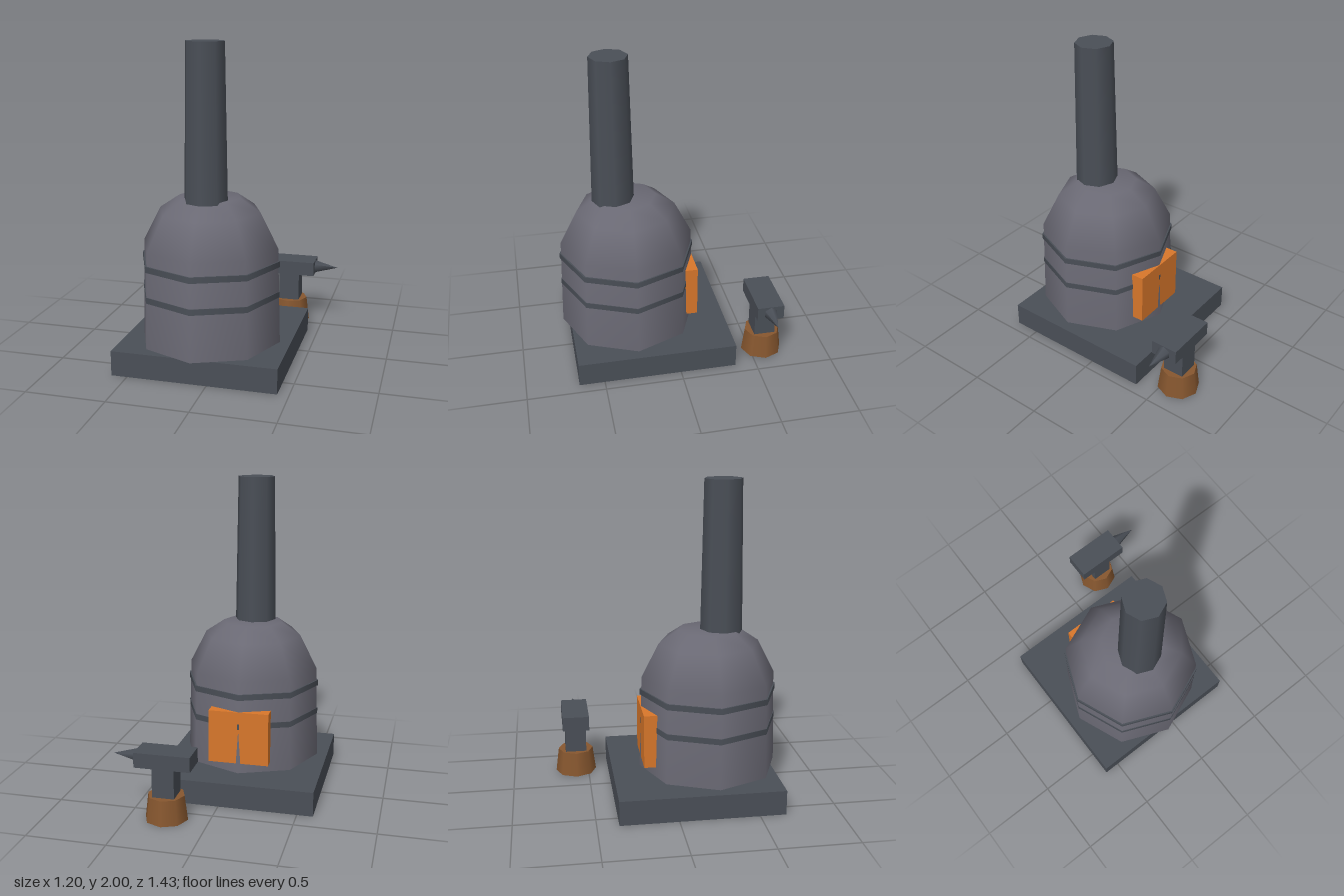
import * as THREE from 'three';

const material = (name, color) => {
  const m = new THREE.MeshStandardMaterial({ color });
  m.name = name;
  return m;
};

export function createModel() {
  const model = new THREE.Group();
  model.name = 'forge';
  const iron = material('dark iron', 0x4a4f57);
  const clay = material('grey clay', 0x6b6a75);
  const wood = material('brown wood', 0x87572f);
  const fire = material('orange glow', 0xd8772b);

  const add = (parent, name, geometry, mat, x, y, z) => {
    const mesh = new THREE.Mesh(geometry, mat);
    mesh.name = name;
    mesh.position.set(x, y, z);
    parent.add(mesh);
    return mesh;
  };

  // Square slab under the furnace
  add(model, 'slab', new THREE.BoxGeometry(1.03, 0.157, 1.028), iron, -0.085, 0.0785, 0.149);

  // Eight-sided furnace: tapered drum and dome in one smooth profile
  const furnace = new THREE.Group();
  furnace.name = 'furnace';
  furnace.position.set(-0.085, 0, 0.264);
  model.add(furnace);
  const profile = [[0.447, 0.157], [0.43, 0.76], [0.32, 0.975], [0.195, 1.06], [0, 1.061]]
    .map(([r, y]) => new THREE.Vector2(r, y));
  add(furnace, 'body', new THREE.LatheGeometry(profile, 8), clay, 0, 0, 0);
  const underside = new THREE.CircleGeometry(0.447, 8).rotateX(Math.PI / 2);
  add(furnace, 'bodyUnderside', underside, clay, 0, 0.157, 0);

  // Iron bands around the drum
  for (const y of [0.468, 0.662]) {
    add(furnace, 'band', new THREE.CylinderGeometry(0.442, 0.442, 0.037, 8), iron, 0, y, 0);
  }

  // Chimney, set forward on the dome
  add(furnace, 'chimney', new THREE.CylinderGeometry(0.12, 0.136, 0.98, 8), iron, 0, 1.51, 0.08);

  // Glowing fire opening at the back
  add(furnace, 'fireOpening', new THREE.BoxGeometry(0.388, 0.345, 0.14), fire, 0, 0.393, -0.369);

  // Anvil on a wooden stump
  const anvil = new THREE.Group();
  anvil.name = 'anvil';
  anvil.position.set(0.266, 0, -0.582);
  model.add(anvil);
  add(anvil, 'stump', new THREE.CylinderGeometry(0.115, 0.135, 0.157, 8), wood, 0, 0.0785, 0);
  add(anvil, 'neck', new THREE.BoxGeometry(0.138, 0.19, 0.138), iron, 0, 0.252, 0);
  add(anvil, 'anvilTop', new THREE.BoxGeometry(0.35, 0.094, 0.174), iron, 0, 0.393, 0);
  const horn = new THREE.ConeGeometry(0.044, 0.155, 6).rotateY(Math.PI / 2).rotateZ(-Math.PI / 2);
  add(anvil, 'horn', horn, iron, 0.252, 0.393, 0);

  return model;
}
